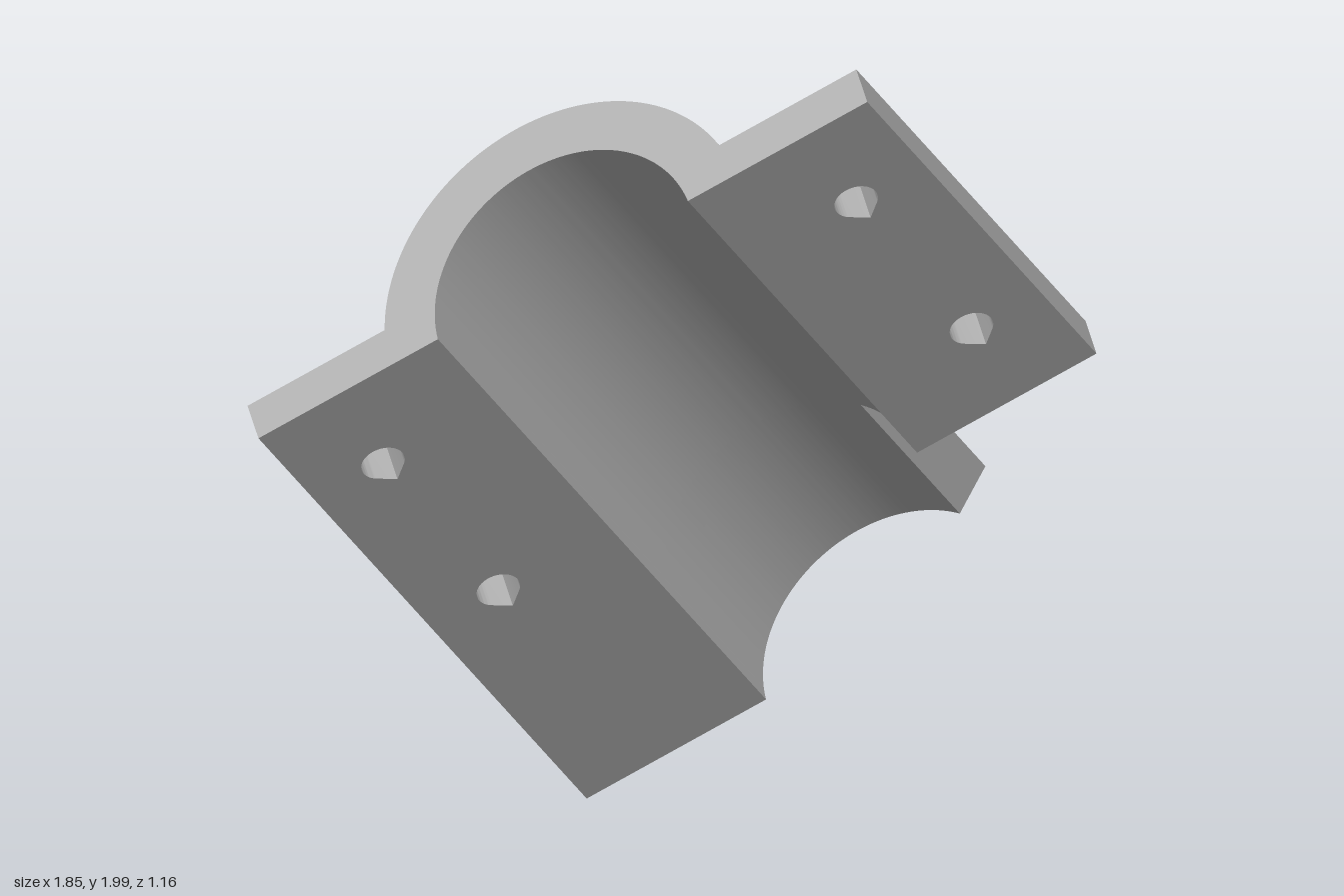
import * as THREE from 'three';
import { toCreasedNormals } from 'three/addons/utils/BufferGeometryUtils.js';

// Local frame: x across the flanges, y towards the crown, z along the pipe.
const OUTER = 0.45, INNER = 0.325;
const FLANGE_LOW = 0.0195, FLANGE_HIGH = 0.119, FLANGE_END = 0.79;
const BACK = 1.457, STEP = 0.338, FRONT = -0.145;
const HOLE_X = 0.614, HOLE_R = 0.05, HOLE_Z = [1.18, 0.617];
const TILT = THREE.MathUtils.degToRad(43.3);

// Curved wall between the given right-hand angles and the left flange joint
function pipeWall(outerStart, innerStart, z0, z1) {
  const outerEnd = Math.PI - Math.asin(FLANGE_HIGH / OUTER);
  const innerEnd = Math.PI - Math.asin(FLANGE_LOW / INNER);
  const shape = new THREE.Shape();
  shape.absarc(0, 0, OUTER, outerStart, outerEnd, false);
  shape.absarc(0, 0, INNER, innerEnd, innerStart, true);
  shape.closePath();
  const geo = new THREE.ExtrudeGeometry(shape, { depth: z1 - z0, bevelEnabled: false, curveSegments: 64 });
  geo.translate(0, 0, z0);
  return toCreasedNormals(geo, 0.5);
}

// Flat flange with two teardrop screw holes
function flange(side, z0, z1) {
  const xIn = Math.sqrt(INNER ** 2 - FLANGE_LOW ** 2) * side, xOut = FLANGE_END * side;
  const shape = new THREE.Shape([[xIn, z0], [xOut, z0], [xOut, z1], [xIn, z1]]
    .map(([x, z]) => new THREE.Vector2(x, z)));
  for (const z of HOLE_Z) {
    const hole = new THREE.Path();
    hole.absarc(HOLE_X * side, z, HOLE_R, -Math.PI / 4, Math.PI * 5 / 4, false);
    hole.lineTo(HOLE_X * side, z - HOLE_R * Math.SQRT2);
    hole.closePath();
    shape.holes.push(hole);
  }
  const geo = new THREE.ExtrudeGeometry(shape, { depth: FLANGE_HIGH - FLANGE_LOW, bevelEnabled: false, curveSegments: 32 });
  geo.rotateX(Math.PI / 2).translate(0, FLANGE_HIGH, 0);
  return toCreasedNormals(geo, 0.5);
}

export function createModel() {
  const grey = new THREE.MeshStandardMaterial({ color: 0xb0b0b0 });
  grey.name = 'grey';
  const group = new THREE.Group();
  group.name = 'pipeClamp';
  const add = (name, geo) => {
    const mesh = new THREE.Mesh(geo, grey);
    mesh.name = name;
    group.add(mesh);
  };

  // Full half pipe, then the narrower wall beyond the short flange
  add('halfPipe', pipeWall(Math.asin(FLANGE_HIGH / OUTER), Math.asin(FLANGE_LOW / INNER), STEP, BACK));
  add('cutPipeEnd', pipeWall(TILT, TILT, FRONT, STEP));
  add('shortFlange', flange(1, STEP, BACK));
  add('longFlange', flange(-1, FRONT, BACK));

  // Lean the pipe axis down to the right and turn the crown up and back
  const h = Math.SQRT1_2, c = Math.cos(TILT), s = Math.sin(TILT);
  const across = new THREE.Vector3(c * h, c * h, s);
  const crown = new THREE.Vector3(s * h, s * h, -c);
  const along = new THREE.Vector3(-h, h, 0);
  group.quaternion.setFromRotationMatrix(new THREE.Matrix4().makeBasis(across, crown, along));
  group.position.set(0.5, 0.5, 0.045);

  const model = new THREE.Group();
  model.name = 'clampModel';
  model.add(group);
  return model;
}
